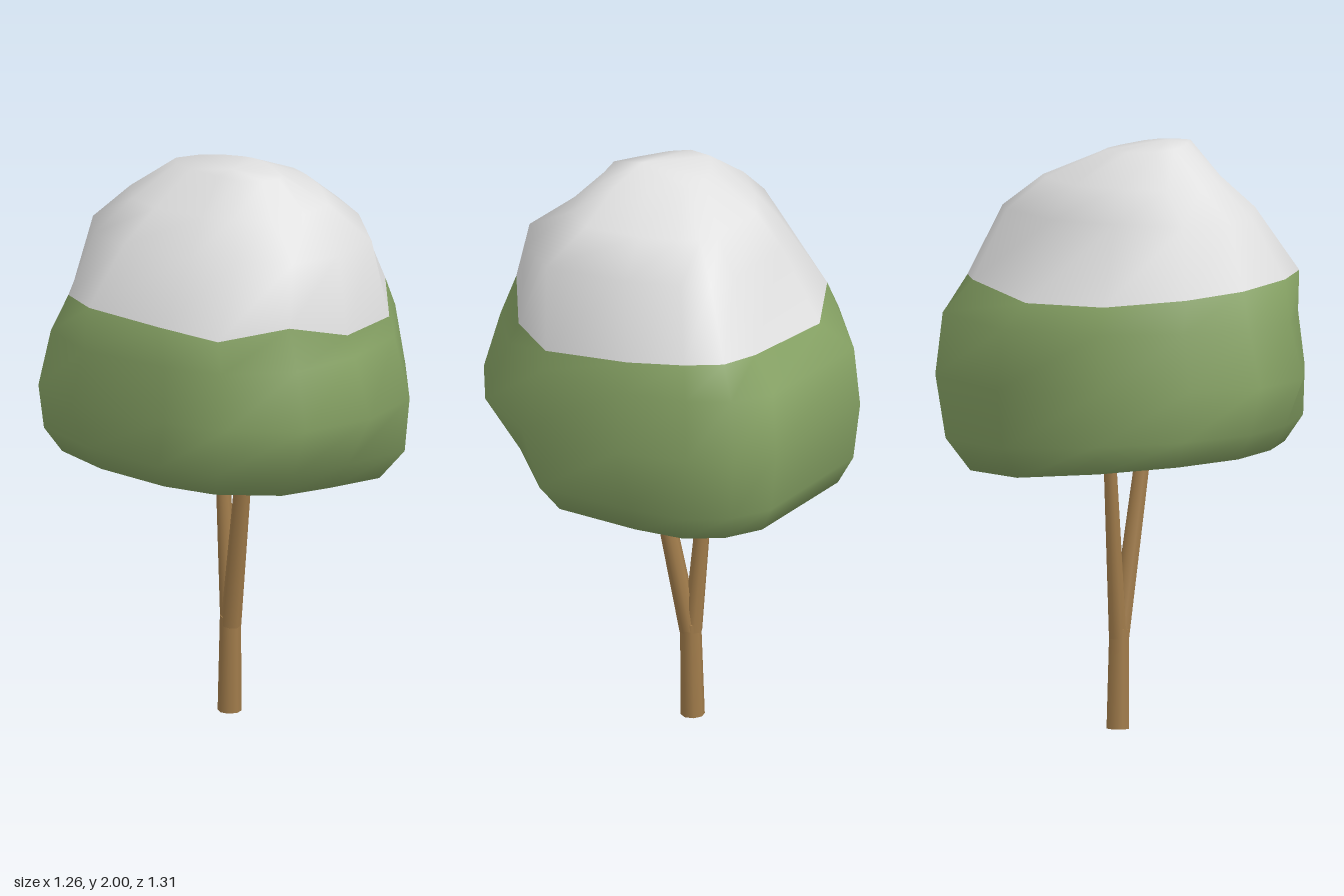
import * as THREE from 'three';

const leaf = new THREE.MeshStandardMaterial({ color: 0x86a264 });
leaf.name = 'leafGreen';
const snow = new THREE.MeshStandardMaterial({ color: 0xe0e0e0 });
snow.name = 'snowWhite';
const bark = new THREE.MeshStandardMaterial({ color: 0xa17c4b });
bark.name = 'barkBrown';

// Irregular plan outline of the crown [x, z], scaled to fit each ring
const OUTLINE = [
  [-0.16, -0.66], [0.0, -0.64], [0.23, -0.55], [0.53, -0.33], [0.63, -0.08],
  [0.61, 0.18], [0.45, 0.40], [0.25, 0.51], [-0.08, 0.65], [-0.32, 0.60],
  [-0.48, 0.41], [-0.61, 0.13], [-0.63, -0.24], [-0.31, -0.61],
];
// Uneven snow line, as a height offset at each outline corner
const SNOW_LINE = [0, 0, -0.01, -0.04, -0.04, 0.03, 0, 0.03, 0.04, 0.02, 0, -0.02, -0.03, 0];
// Bulges and dents: a radius factor at each outline corner
const EVEN = OUTLINE.map(() => 1);
const LOWER = [0.98, 1, 1, 1.1, 1, 1.07, 1.12, 1.12, 1, 1.05, 1.08, 1.03, 0.98, 0.97];
const UPPER = [1, 1, 1, 1, 1, 1.04, 1.06, 1.05, 1, 1, 1, 1, 1, 1];
const MIDDLE = [0.98, 1, 1.02, 1.03, 1, 1.06, 1.1, 1.14, 1.04, 0.98, 1.01, 1.03, 0.89, 0.93];
const DOME = [1, 1, 1.02, 1.06, 1, 0.97, 0.92, 1, 1, 1.07, 1.18, 1, 0.93, 0.95];
const TOP = [0.9, 1, 1, 1, 1, 1, 1.1, 1.05, 1, 1.1, 1.2, 0.9, 0.7, 0.8];
// Rings: height, left, right, back, front extents, tilt along z, corner factors
const RINGS = [
  [0.92, 0.30, 0.25, 0.30, 0.28, 0.04, EVEN],
  [0.93, 0.57, 0.43, 0.55, 0.53, 0.10, LOWER],
  [1.03, 0.62, 0.51, 0.64, 0.59, 0.07, LOWER],
  [1.22, 0.63, 0.63, 0.655, 0.655, 0.02, EVEN],
  [1.42, 0.61, 0.55, 0.63, 0.605, 0, UPPER],
  [1.53, 0.545, 0.50, 0.575, 0.58, 0, MIDDLE],
  [1.77, 0.40, 0.49, 0.45, 0.45, 0, DOME],
  [1.88, 0.31, 0.33, 0.31, 0.32, 0, DOME],
  [1.98, 0.17, 0.22, 0.11, 0.18, 0.08, TOP],
];
const SNOW_RING = 5;

function crownGeometry() {
  const n = OUTLINE.length;
  const pos = [];
  RINGS.forEach(([y, left, right, back, front, tilt, factors], r) => {
    OUTLINE.forEach(([ox, oz], i) => {
      const dy = r === SNOW_RING ? SNOW_LINE[i] : 0;
      const s = factors[i] * (1 - dy * 0.8);
      const x = (ox / 0.63) * (ox < 0 ? left : right) * s;
      const z = (oz / 0.655) * (oz < 0 ? back : front) * s;
      pos.push(x, y + dy + tilt * z, z);
    });
  });
  const bottom = RINGS.length * n;
  pos.push(-0.05, 0.95, 0, 0.08, 2.0, 0.08);

  const index = [];
  let greenEnd = 0;
  for (let i = 0; i < n; i++) index.push(bottom, i, (i + 1) % n);
  for (let r = 0; r < RINGS.length - 1; r++) {
    if (r === SNOW_RING) greenEnd = index.length;
    for (let i = 0; i < n; i++) {
      const a = r * n + i, b = r * n + (i + 1) % n;
      index.push(a, a + n, b, b, a + n, b + n);
    }
  }
  const last = (RINGS.length - 1) * n;
  for (let i = 0; i < n; i++) index.push(last + i, bottom + 1, last + (i + 1) % n);

  const geo = new THREE.BufferGeometry();
  geo.setAttribute('position', new THREE.Float32BufferAttribute(pos, 3));
  geo.setIndex(index);
  geo.addGroup(0, greenEnd, 0);
  geo.addGroup(greenEnd, index.length - greenEnd, 1);
  geo.computeVertexNormals();
  return geo;
}

// Tapered limb between two points
function limb(name, from, to, r0, r1) {
  const a = new THREE.Vector3(...from), b = new THREE.Vector3(...to);
  const dir = b.clone().sub(a);
  const mesh = new THREE.Mesh(new THREE.CylinderGeometry(r1, r0, dir.length(), 8), bark);
  mesh.position.copy(a).add(b).multiplyScalar(0.5);
  mesh.quaternion.setFromUnitVectors(new THREE.Vector3(0, 1, 0), dir.normalize());
  mesh.name = name;
  return mesh;
}

export function createModel() {
  const tree = new THREE.Group();
  tree.name = 'snowyTree';

  const crown = new THREE.Mesh(crownGeometry(), [leaf, snow]);
  crown.name = 'crown';
  tree.add(crown);

  // Trunk forking into two branches
  tree.add(limb('trunk', [-0.08, 0, -0.036], [-0.073, 0.34, -0.034], 0.041, 0.036));
  tree.add(limb('leftBranch', [-0.07, 0.31, -0.034], [0.06, 0.99, 0.005], 0.035, 0.027));
  tree.add(limb('rightBranch', [-0.08, 0.31, -0.036], [-0.137, 0.99, -0.043], 0.032, 0.022));
  return tree;
}
